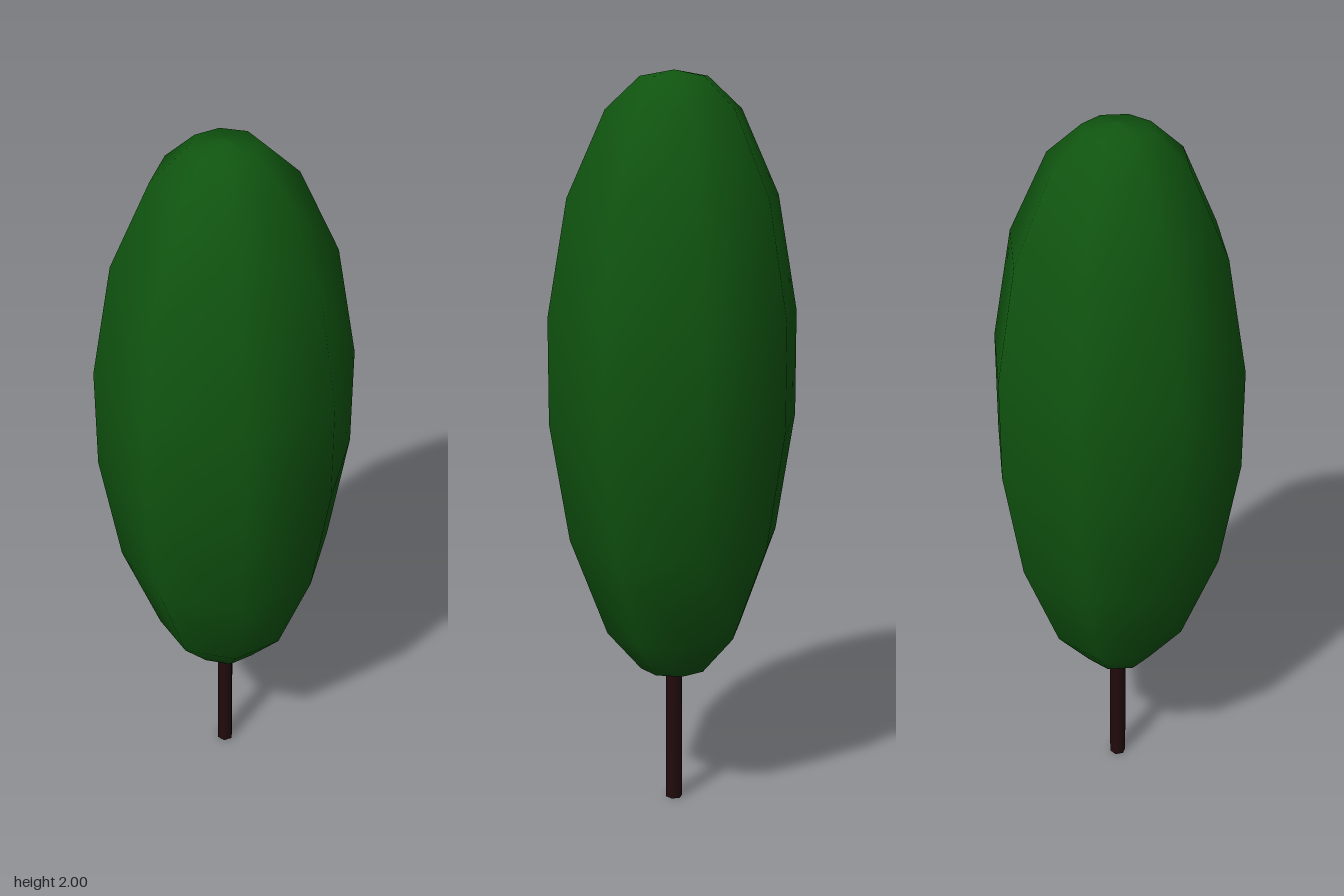
import * as THREE from 'three';

export function createModel() {
  const tree = new THREE.Group();
  tree.name = 'tree';

  const leafGreen = new THREE.MeshStandardMaterial({ color: 0x105410 });
  leafGreen.name = 'leaf green';
  const barkBrown = new THREE.MeshStandardMaterial({ color: 0x220b0d });
  barkBrown.name = 'bark brown';

  // Tall oval crown: eight-sided, smoothly shaded, bottom to top
  const profile = [
    [0, 0.36], [0.093, 0.383], [0.187, 0.492], [0.288, 0.76], [0.34, 1.08],
    [0.34, 1.365], [0.286, 1.675], [0.183, 1.9], [0.091, 1.984], [0, 2],
  ].map(([r, y]) => new THREE.Vector2(r, y));
  const crown = new THREE.Mesh(new THREE.LatheGeometry(profile, 8), leafGreen);
  crown.name = 'crown';
  tree.add(crown);

  // Thin six-sided trunk reaching into the crown
  const trunkHeight = 0.42;
  const trunk = new THREE.Mesh(new THREE.CylinderGeometry(0.023, 0.023, trunkHeight, 6), barkBrown);
  trunk.name = 'trunk';
  trunk.position.y = trunkHeight / 2;
  tree.add(trunk);

  return tree;
}
